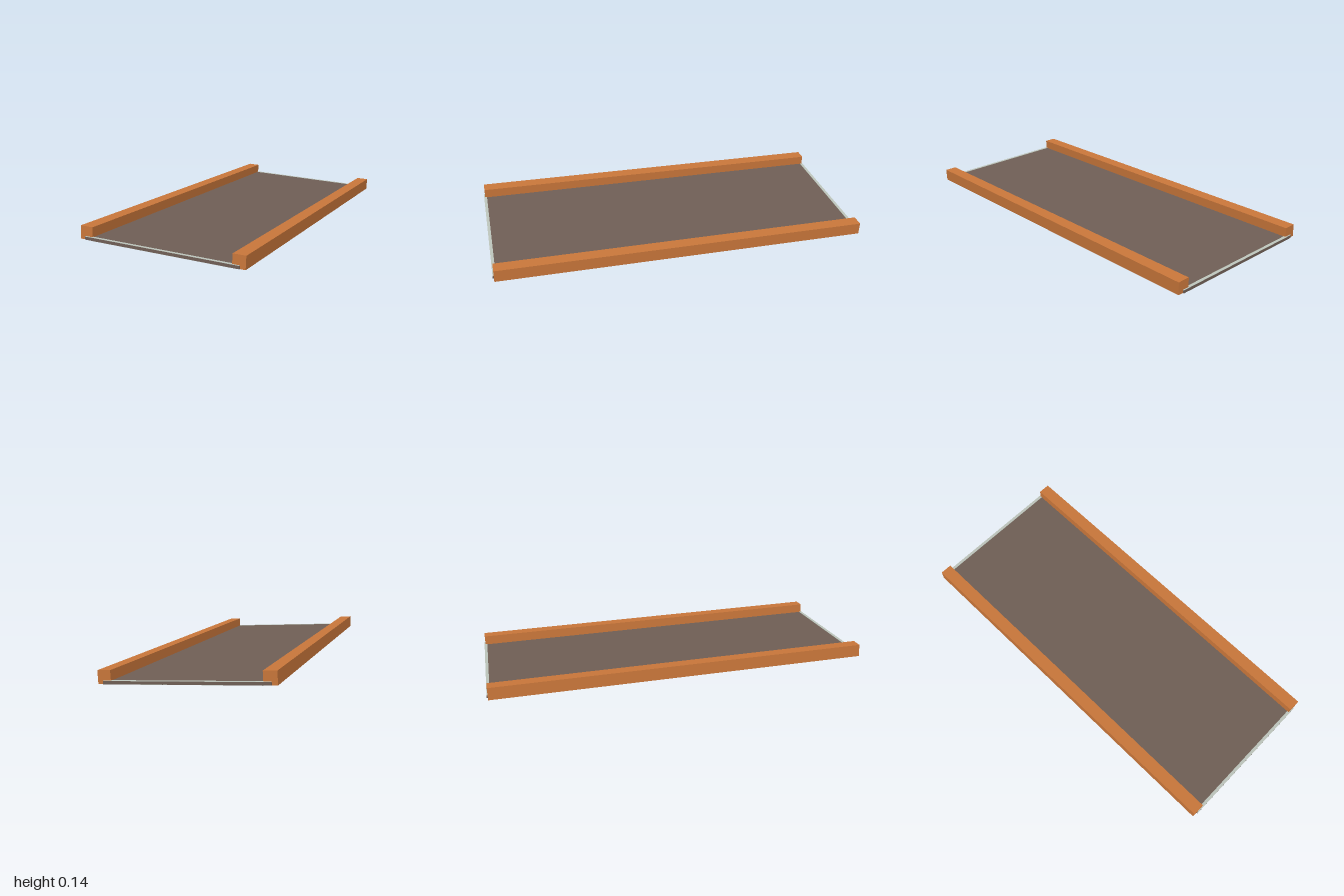
import * as THREE from 'three';

export function createModel() {
  const model = new THREE.Group();
  model.name = 'tiltedPanel';

  const mat = (name, color) => {
    const m = new THREE.MeshStandardMaterial({ color });
    m.name = name;
    return m;
  };
  const wood = mat('orangeWood', 0xc8763a);
  const board = mat('greyBrownBoard', 0x6f5e55);
  const glass = mat('paleGlass', 0xbcc4bb);

  const add = (name, [w, h, d], [x, y, z], material) => {
    const mesh = new THREE.Mesh(new THREE.BoxGeometry(w, h, d), material);
    mesh.name = name;
    mesh.position.set(x, y, z);
    model.add(mesh);
  };

  // flat board between the rails, its edges let into them
  const thick = 0.015;
  add('board', [0.8, thick, 1.998], [0, thick / 2 + 0.0005, 0], board);

  // square rails along both long sides
  for (const [name, s] of [['leftRail', 1], ['rightRail', -1]]) {
    add(name, [0.065, 0.065, 1.986], [s * 0.395, 0.0325, 0], wood);
  }

  // pale glass margins on the top and bottom at each end
  for (const [name, s] of [['front', 1], ['back', -1]]) {
    add(name + 'TopMargin', [0.8, 0.002, 0.016], [0, thick + 0.001, s * 0.991], glass);
    add(name + 'BottomMargin', [0.73, 0.001, 0.016], [0, 0.0002, s * 0.991], glass);
  }

  // the whole panel leans down to its left and to the back
  model.rotation.set(-0.0163, 0, -0.05);
  model.position.set(-0.0015, 0.038, 0);

  const root = new THREE.Group();
  root.name = 'panel';
  root.add(model);
  return root;
}
